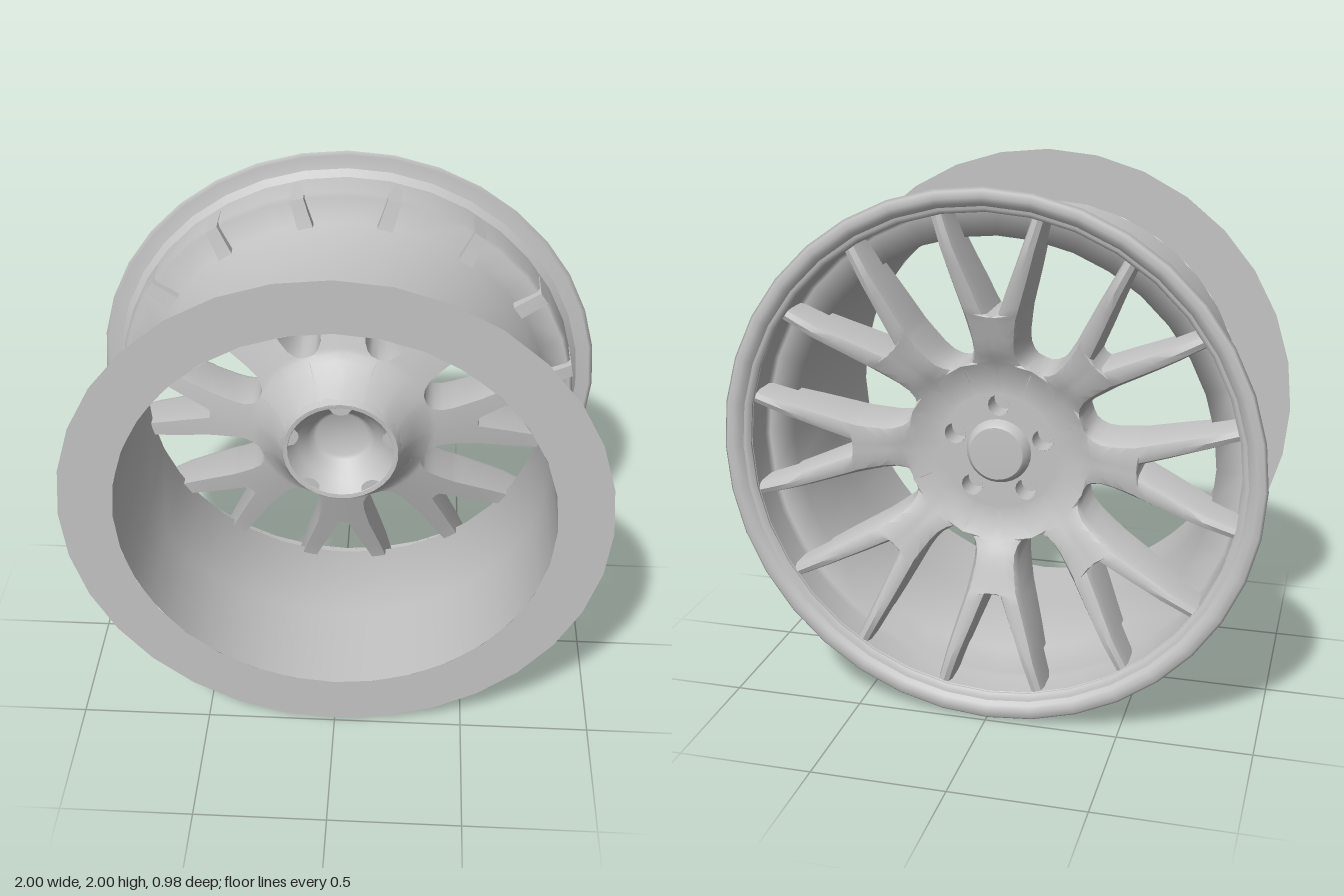
import * as THREE from 'three';
import { toCreasedNormals } from 'three/addons/utils/BufferGeometryUtils.js';

const metal = new THREE.MeshStandardMaterial({ color: 0xc4c4c4, side: THREE.DoubleSide });
metal.name = 'grey metal';

// piecewise linear lookup through [radius, z] pairs
function lookup(table, r) {
  for (let i = 1; i < table.length; i++) {
    const [r0, z0] = table[i - 1], [r1, z1] = table[i];
    if (r <= r1) return z0 + (z1 - z0) * Math.max(0, (r - r0) / (r1 - r0));
  }
  return table[table.length - 1][1];
}

// spin a [radius, z] profile around the wheel axis
function spin(profile, segments, crease) {
  const g = new THREE.LatheGeometry(profile.map(([r, z]) => new THREE.Vector2(r, z)), segments);
  g.rotateX(Math.PI / 2);
  return crease ? toCreasedNormals(g, crease) : g;
}

// front and back heights of the dished spokes
const frontZ = [[0.2, 0.06], [0.22, 0.06], [0.26, -0.02], [0.3, -0.075], [0.35, -0.11], [0.53, -0.17], [0.8, -0.26], [0.91, -0.285]];
const backZ = [[0.2, -0.285], [0.25, -0.285], [0.32, -0.305], [0.4, -0.35], [0.55, -0.4], [0.8, -0.445], [0.91, -0.44]];

// half of one forked spoke: inner edge x, y and outer edge x, y, from hub to rim
const rows = [
  [0, 0.22, 0.084, 0.203], [0, 0.245, 0.094, 0.226], [0, 0.28, 0.107, 0.259], [0, 0.32, 0.122, 0.296],
  [0, 0.35, 0.133, 0.32], [0, 0.365, 0.108, 0.333], [0, 0.38, 0.094, 0.352], [0, 0.41, 0.084, 0.385],
  [0, 0.46, 0.086, 0.43], [0, 0.51, 0.097, 0.49], [0, 0.53, 0.103, 0.52], [0.02, 0.535, 0.107, 0.54],
  [0.032, 0.565, 0.116, 0.57], [0.06, 0.64, 0.137, 0.64], [0.088, 0.71, 0.156, 0.705],
  [0.115, 0.78, 0.175, 0.775], [0.14, 0.85, 0.193, 0.84], [0.155, 0.895, 0.206, 0.885],
];
const GAP_ROW = 4, FORK_ROW = 10; // where the free outer and inner edges start
const columns = [0, 0.15, 0.5, 0.85, 1];

function spokesGeometry() {
  const grid = rows.map(([xi, yi, xo, yo], i) => columns.map((u) => {
    const x = xi + (xo - xi) * u, y = yi + (yo - yi) * u, r = Math.hypot(x, y);
    let lift = 0; // rounds the back towards free edges
    if (i > GAP_ROW) lift += 0.035 * Math.max(0, (u - 0.7) / 0.3) ** 2;
    if (i > FORK_ROW) lift += 0.035 * Math.max(0, (0.3 - u) / 0.3) ** 2;
    return { f: [x, y, lookup(frontZ, r)], b: [x, y, lookup(backZ, r) + lift] };
  }));
  const out = [];
  const last = columns.length - 1;
  for (let k = 0; k < 8; k++) {
    const c = Math.cos(k * Math.PI / 4), s = Math.sin(k * Math.PI / 4);
    for (const side of [1, -1]) {
      const put = ([x, y, z]) => out.push(side * x * c - y * s, side * x * s + y * c, z);
      const quad = (p, q, r, t) => (side > 0 ? [p, q, r, p, r, t] : [p, r, q, p, t, r]).forEach(put);
      for (let i = 0; i < grid.length - 1; i++) {
        const A = grid[i], B = grid[i + 1];
        for (let j = 0; j < last; j++) {
          quad(A[j].f, A[j + 1].f, B[j + 1].f, B[j].f);
          quad(A[j].b, B[j].b, B[j + 1].b, A[j + 1].b);
        }
        if (i >= GAP_ROW) quad(A[last].f, A[last].b, B[last].b, B[last].f);
        if (i >= FORK_ROW) quad(A[0].f, B[0].f, B[0].b, A[0].b);
      }
      const E = grid[grid.length - 1]; // end cap
      for (let j = 0; j < last; j++) quad(E[j].f, E[j + 1].f, E[j + 1].b, E[j].b);
    }
  }
  const g = new THREE.BufferGeometry();
  g.setAttribute('position', new THREE.Float32BufferAttribute(out, 3));
  return toCreasedNormals(g, 0.75);
}

export function createModel() {
  const model = new THREE.Group();
  model.name = 'wheelRim';
  const wheel = new THREE.Group();
  wheel.name = 'wheel';
  wheel.position.y = 1;
  model.add(wheel);
  const add = (name, geometry, z = 0) => {
    const m = new THREE.Mesh(geometry, metal);
    m.name = name;
    m.position.z = z;
    wheel.add(m);
    return m;
  };

  // barrel shell with its stepped seat and rounded lip
  add('barrel', spin([[0.8, 0.488], [0.798, 0.1], [0.8, -0.295], [0.895, -0.308], [0.908, -0.325], [0.91, -0.45]], 36));
  add('rimLip', spin([[0.91, -0.45], [0.925, -0.468], [0.985, -0.469], [1, -0.477], [0.99, -0.487],
    [0.965, -0.49], [0.945, -0.482], [0.93, -0.465], [0.908, -0.44]], 36));
  // flat flange at the open end
  add('flange', new THREE.RingGeometry(0.8, 1, 32), 0.488);

  add('spokes', spokesGeometry());

  // hub boss with a dished front
  add('hubBoss', spin([[0.255, -0.02], [0.222, 0.06], [0.205, 0.058], [0.165, 0.005], [0.13, -0.025],
    [0.115, -0.05], [0.1, -0.058], [0, -0.06]], 30, 0.7));

  // hub plate on the back, pierced by five bolt holes
  const plate = new THREE.Shape().absarc(0, 0, 0.225, 0, Math.PI * 2);
  const boltAngles = [0, 1, 2, 3, 4].map((i) => Math.PI / 2 + i * Math.PI * 0.4);
  for (const a of boltAngles) {
    const x = 0.175 * Math.cos(a), y = 0.175 * Math.sin(a);
    plate.holes.push(new THREE.Path().absarc(x, y, 0.04, 0, Math.PI * 2, true));
    const well = add('boltHole', spin([[0.04, 0], [0.04, 0.09], [0, 0.09]], 16, 0.6), -0.287);
    well.position.set(x, y, -0.287);

    // bolt seat showing as a scallop on the front of the boss
    const seat = new THREE.Shape();
    seat.absarc(0, 0, 0.219, -0.26, 0.26);
    seat.quadraticCurveTo(0.2, 0.04, 0.18, 0.03);
    seat.quadraticCurveTo(0.162, 0, 0.18, -0.03);
    seat.quadraticCurveTo(0.2, -0.04, 0.219 * Math.cos(0.26), -0.219 * Math.sin(0.26));
    add('boltSeat', new THREE.ShapeGeometry(seat, 6), 0.056).rotation.z = a;
  }
  add('hubPlate', new THREE.ShapeGeometry(plate, 16), -0.287);

  // centre cap
  add('centreCap', spin([[0.125, -0.28], [0.112, -0.315], [0.1, -0.325], [0, -0.328]], 28, 0.6));

  return model;
}
